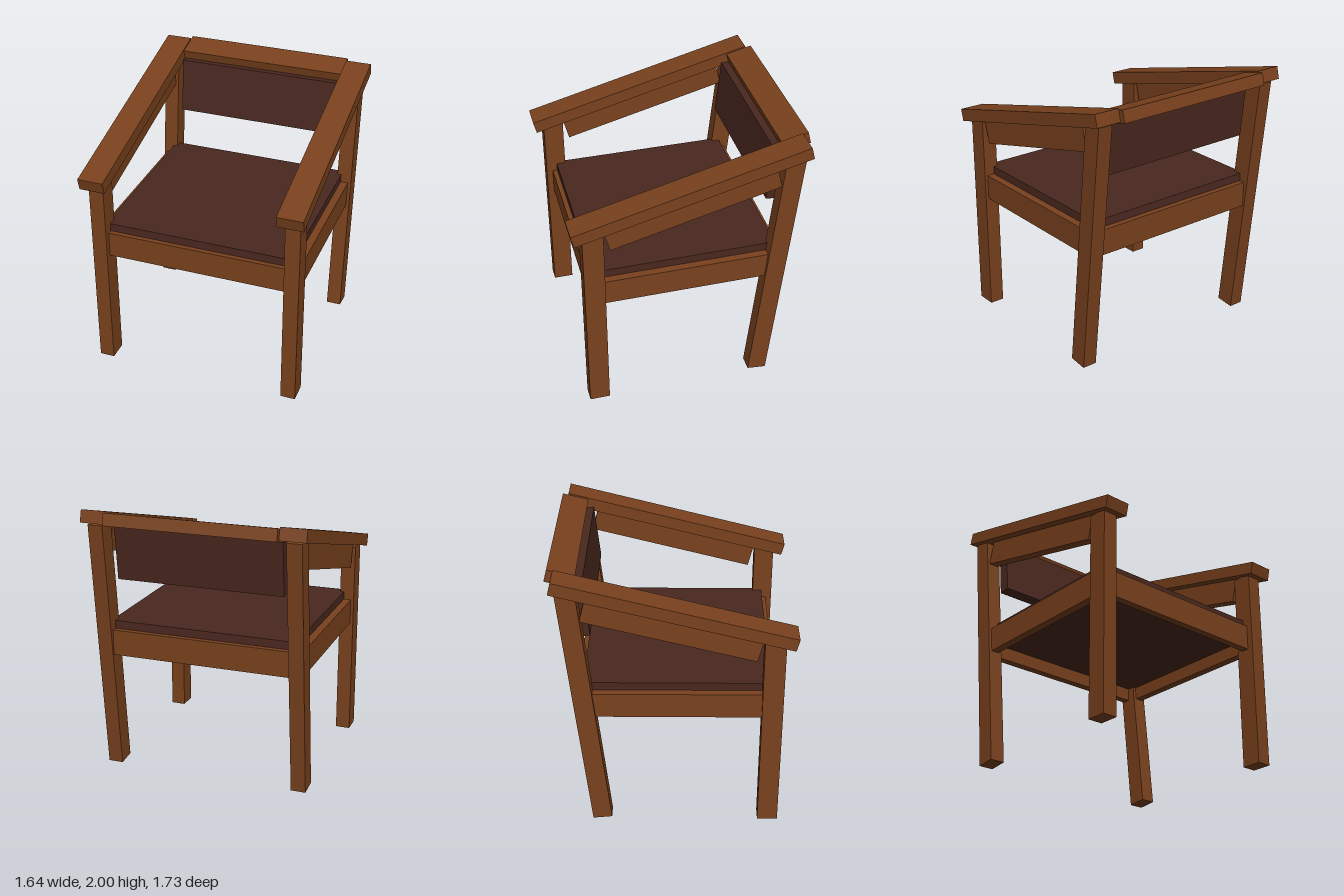
import * as THREE from 'three';

const wood = new THREE.MeshStandardMaterial({ name: 'brown wood', color: 0x79411d });
const leather = new THREE.MeshStandardMaterial({ name: 'dark leather', color: 0x4a281f });

const ARM_TILT = 0.25;   // slope of the armrests and top rail
const BACK_TILT = -0.105; // rake of the back legs and backrest

// Box with a name, size, centre and tilt about x
function box(parent, name, material, size, position, tilt = 0) {
  const mesh = new THREE.Mesh(new THREE.BoxGeometry(...size), material);
  mesh.name = name;
  mesh.position.set(...position);
  mesh.rotation.x = tilt;
  parent.add(mesh);
}

export function createModel() {
  const chair = new THREE.Group();
  chair.name = 'armchair';

  for (const [side, s] of [['left', 1], ['right', -1]]) {
    // Legs
    box(chair, `${side}FrontLeg`, wood, [0.11, 1.52, 0.148], [s * 0.725, 0.76, 0.707]);
    box(chair, `${side}BackLeg`, wood, [0.11, 1.9, 0.14], [s * 0.725, 0.952, -0.616], BACK_TILT);

    // Side seat rail
    box(chair, `${side}SeatRail`, wood, [0.062, 0.19, 1.25], [s * 0.726, 0.995, 0.02]);

    // Sloping armrest with a deep support board below
    const arm = new THREE.Group();
    arm.name = `${side}Arm`;
    arm.position.set(s * 0.725, 1.742, 0.021);
    arm.rotation.x = ARM_TILT;
    box(arm, 'armrest', wood, [0.19, 0.092, 1.716], [0, 0, 0]);
    box(arm, 'armSupport', wood, [0.07, 0.18, 1.252], [0, -0.136, 0.015]);
    chair.add(arm);
  }

  // Front and back seat rails
  box(chair, 'frontSeatRail', wood, [1.36, 0.19, 0.055], [0, 0.995, 0.708]);
  box(chair, 'backSeatRail', wood, [1.36, 0.19, 0.06], [0, 0.995, -0.637]);

  // Seat, backrest panel and top rail
  box(chair, 'seatCushion', leather, [1.4, 0.15, 1.325], [0, 1.075, 0.0375]);
  box(chair, 'backrest', leather, [1.24, 0.407, 0.09], [0, 1.684, -0.633], BACK_TILT);
  box(chair, 'topRail', wood, [1.26, 0.09, 0.197], [0, 1.9305, -0.758], ARM_TILT);

  return chair;
}
